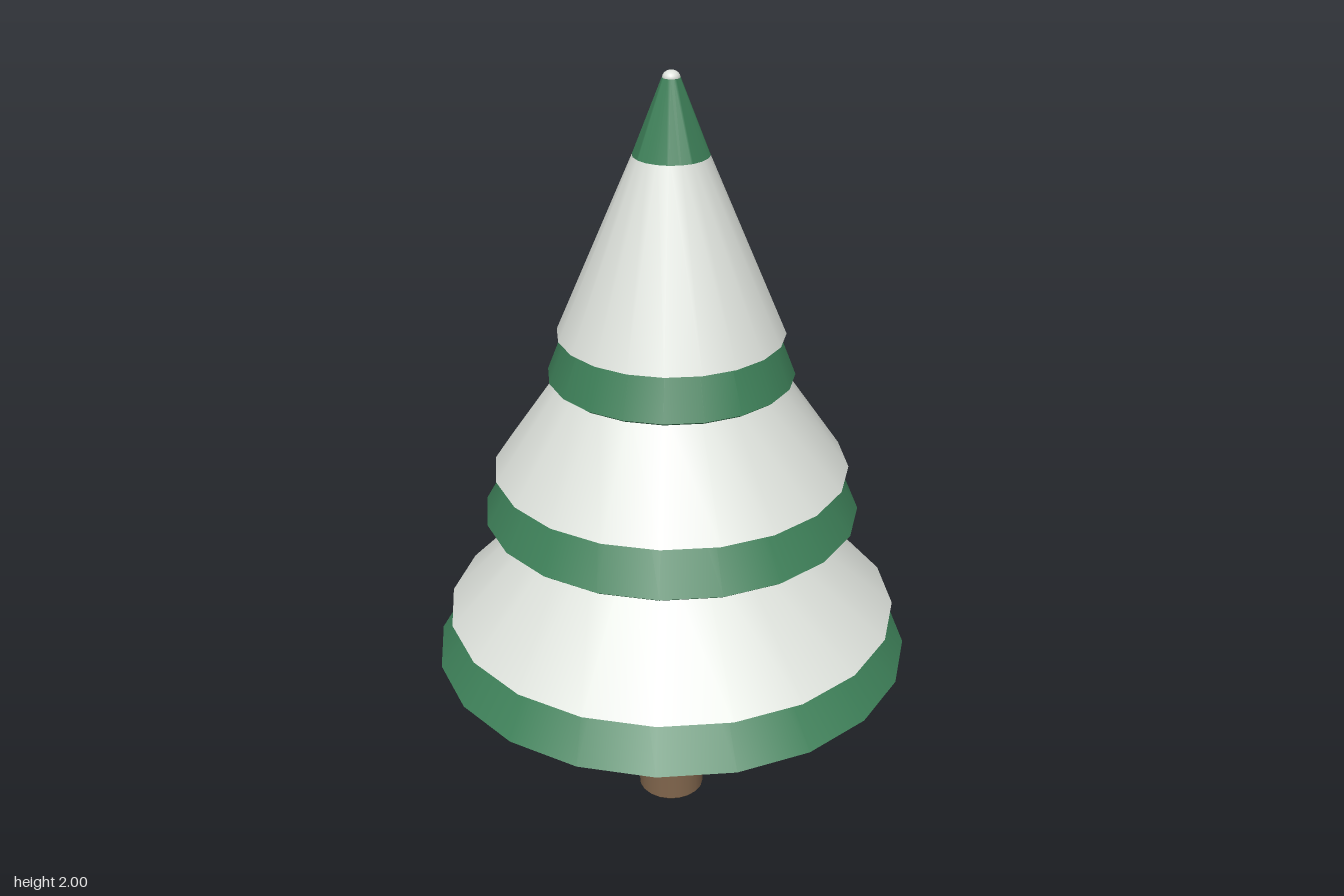
import * as THREE from 'three';
import { toCreasedNormals } from 'three/addons/utils/BufferGeometryUtils.js';

const SIDES = 20;

const mat = (name, color) => {
  const m = new THREE.MeshStandardMaterial({ color });
  m.name = name;
  return m;
};

// Revolves a [radius, height] profile, listed from the bottom up
function turned(name, profile, material) {
  const points = profile.map(([r, y]) => new THREE.Vector2(r, y));
  const mesh = new THREE.Mesh(toCreasedNormals(new THREE.LatheGeometry(points, SIDES), 0.6), material);
  mesh.name = name;
  return mesh;
}

export function createModel() {
  const tree = new THREE.Group();
  tree.name = 'snowyTree';
  const green = mat('needle green', 0x3d7f58);
  const white = mat('snow white', 0xdde1db);
  const brown = mat('bark brown', 0x80654c);

  // Trunk with a softened foot
  tree.add(turned('trunk', [[0, 0], [0.08, 0], [0.088, 0.008], [0.088, 0.5], [0, 0.5]], brown));

  // Each tier: foliage cone [radius, bottom, topRadius, top] and the snow skirt over it
  const tiers = [
    { name: 'lower', cone: [0.615, 0.485, 0.29, 0.9], snow: [0.58, 0.61, 0.3, 0.9] },
    { name: 'middle', cone: [0.475, 0.885, 0.26, 1.27], snow: [0.447, 1.008, 0.266, 1.27] },
    { name: 'upper', cone: [0.305, 1.253, 0.022, 1.983], snow: [0.28, 1.365, 0.083, 1.825] },
  ];
  for (const { name, cone: [r, y, tr, ty], snow: [sr, sy, str, sty] } of tiers) {
    const tier = new THREE.Group();
    tier.name = name + 'Tier';
    tier.add(turned(name + 'Foliage',
      [[0, y], [r - 0.008, y], [r, y + 0.006], [tr, ty], [0, ty]], green));
    // The skirt's underside reaches in to the foliage surface
    const inner = THREE.MathUtils.mapLinear(sy, y, ty, r, tr) - 0.005;
    tier.add(turned(name + 'Snow', [[inner, sy], [sr, sy], [str, sty]], white));
    tree.add(tier);
  }

  // Tiny rounded snow cap on the tip
  const cap = new THREE.Mesh(new THREE.SphereGeometry(0.021, SIDES, 8, 0, Math.PI * 2, 0, Math.PI / 2), white);
  cap.name = 'snowTip';
  cap.scale.y = 0.8;
  cap.position.y = 1.983;
  tree.add(cap);

  return tree;
}
